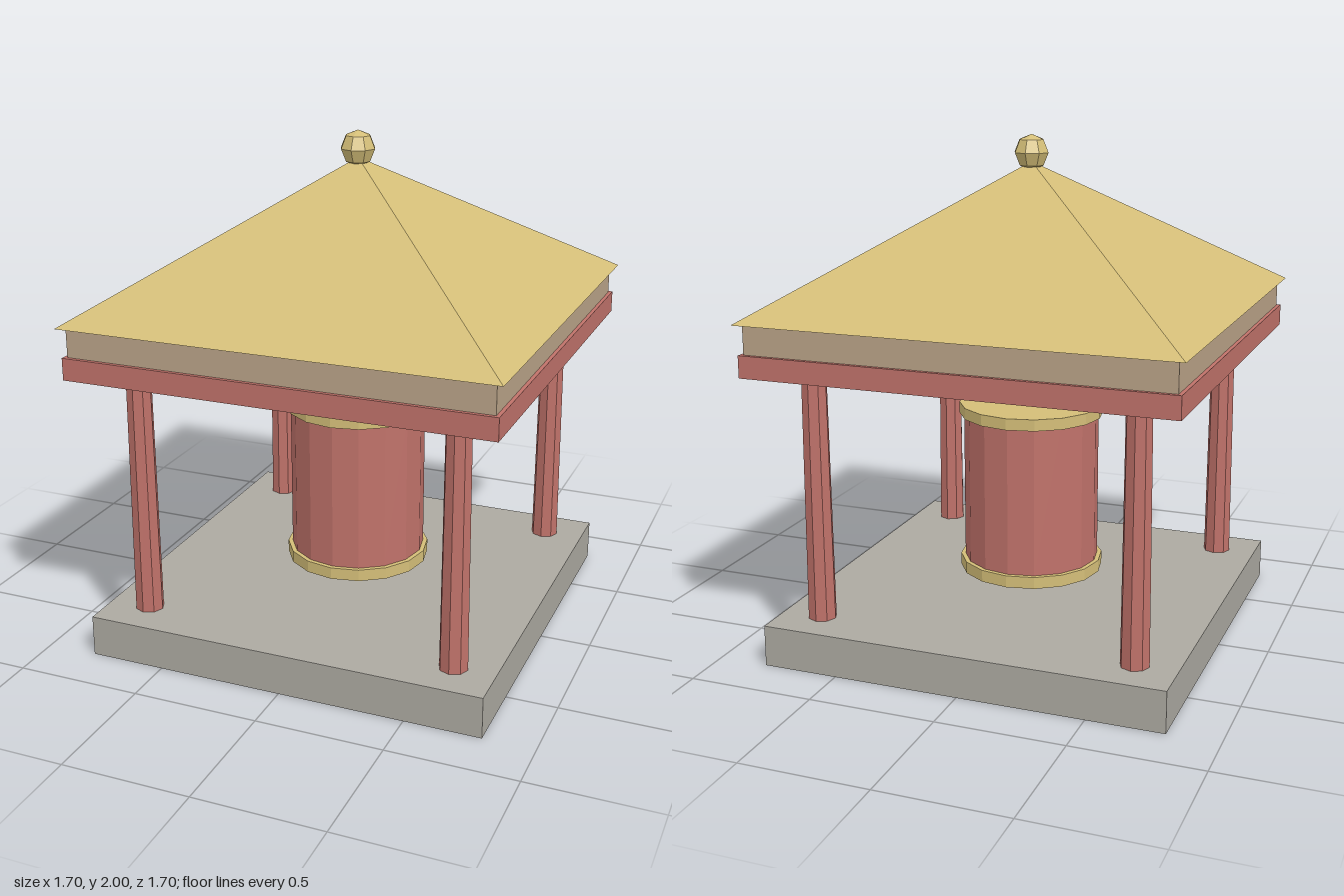
import * as THREE from 'three';

export function createModel() {
  const group = new THREE.Group();
  const material = (name, color) => {
    const m = new THREE.MeshStandardMaterial({ color, flatShading: true });
    m.name = name;
    return m;
  };
  const stone = material('stone', 0xaca9a1);
  const red = material('red lacquer', 0xc0726a);
  const tan = material('tan wood', 0xbaa388);
  const gold = material('gold', 0xd4be78);

  const add = (name, geometry, mat, x, y, z) => {
    const mesh = new THREE.Mesh(geometry, mat);
    mesh.name = name;
    mesh.position.set(x, y, z);
    group.add(mesh);
    return mesh;
  };
  // square slab between two heights
  const slab = (name, half, y0, y1, mat) =>
    add(name, new THREE.BoxGeometry(half * 2, y1 - y0, half * 2), mat, 0, (y0 + y1) / 2, 0);
  // upright round part between two heights
  const round = (name, rTop, rBottom, y0, y1, sides, mat, x = 0, z = 0) =>
    add(name, new THREE.CylinderGeometry(rTop, rBottom, y1 - y0, sides), mat, x, (y0 + y1) / 2, z);

  slab('base', 0.8, 0, 0.163, stone);

  // four tapered corner pillars
  for (const x of [-0.635, 0.635])
    for (const z of [-0.635, 0.635])
      round('pillar', 0.049, 0.056, 0.163, 1.15, 8, red, x, z);

  // hanging drum with its two rims
  round('drum', 0.272, 0.272, 0.29, 0.89, 16, red);
  round('lowerRim', 0.29, 0.29, 0.242, 0.29, 16, gold);
  round('upperRim', 0.29, 0.29, 0.89, 0.936, 16, gold);

  // beam, fascia and pyramid roof
  slab('beam', 0.835, 1.15, 1.236, red);
  slab('fascia', 0.82, 1.236, 1.35, tan);
  const roof = new THREE.ConeGeometry(0.85 * Math.SQRT2, 0.545, 4);
  roof.rotateY(Math.PI / 4);
  add('roof', roof, gold, 0, 1.35 + 0.545 / 2, 0);

  // faceted finial
  add('finial', new THREE.SphereGeometry(0.07, 8, 4), gold, 0, 1.93, 0);

  return group;
}
